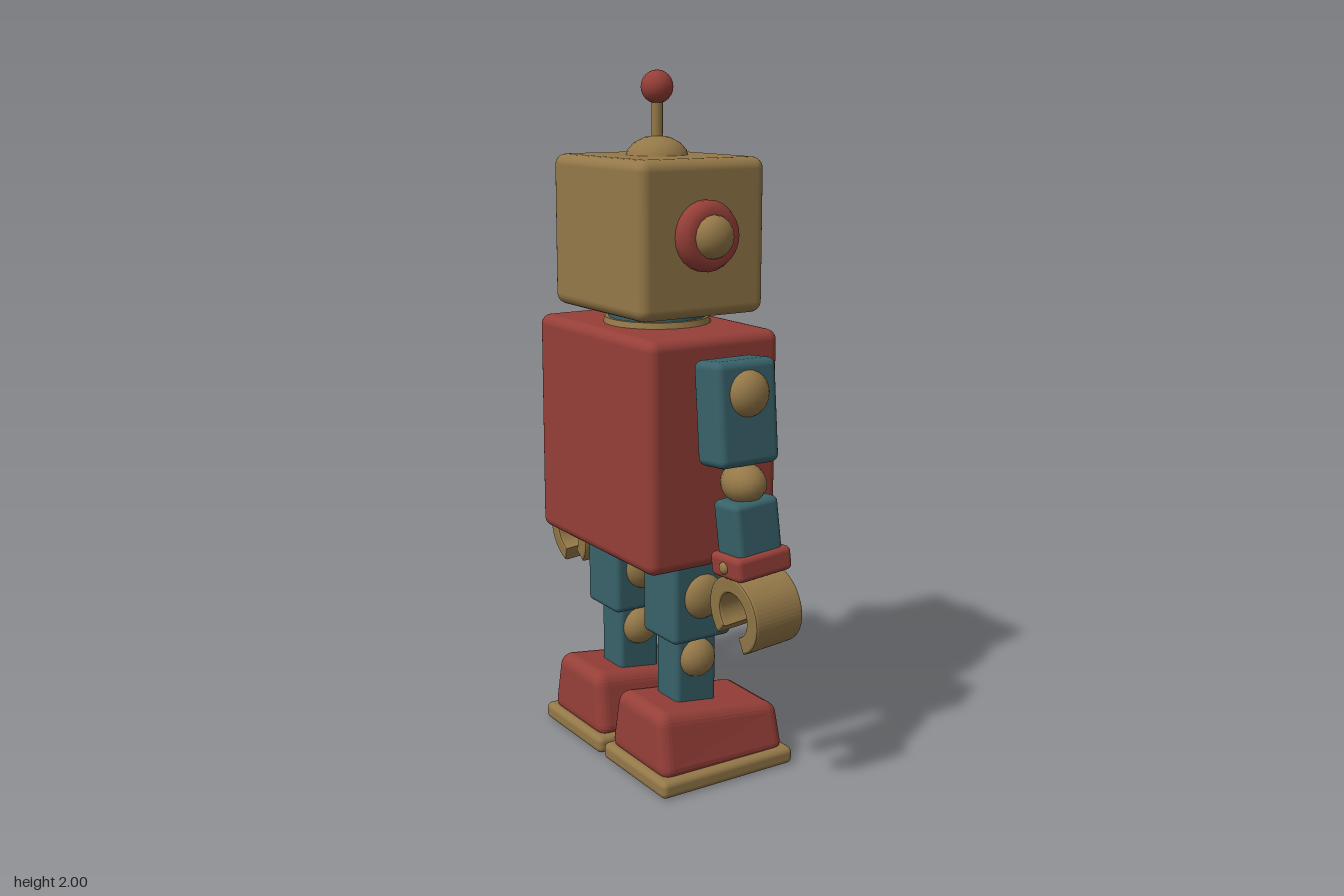
import * as THREE from 'three';
import { RoundedBoxGeometry } from 'three/addons/geometries/RoundedBoxGeometry.js';

const mat = (name, color) => new THREE.MeshStandardMaterial({ name, color });

export function createModel() {
  const tan = mat('brass', 0x947848);
  const red = mat('red paint', 0x963f38);
  const teal = mat('teal paint', 0x38626a);
  const cream = mat('cream', 0xdccfb0);
  const dark = mat('dark', 0x1e2226);
  const yellow = mat('yellow', 0xd09c22);

  // The body is modelled facing +z, then turned to face +x.
  const model = new THREE.Group();
  model.name = 'toyRobot';
  const body = new THREE.Group();
  body.name = 'body';
  body.rotation.y = Math.PI / 2;
  model.add(body);

  const add = (name, geo, m, x, y, z, parent = body) => {
    const mesh = new THREE.Mesh(geo, m);
    mesh.name = name;
    mesh.position.set(x, y, z);
    parent.add(mesh);
    return mesh;
  };
  const rbox = (w, h, d, r) => new RoundedBoxGeometry(w, h, d, 3, r);
  const ball = (rx, ry, rz) => new THREE.SphereGeometry(1, 16, 12).scale(rx, ry, rz);
  const discZ = (r, d, n = 24) => new THREE.CylinderGeometry(r, r, d, n).rotateX(Math.PI / 2);
  const lathe = (pts, n = 24) => new THREE.LatheGeometry(pts.map(p => new THREE.Vector2(...p)), n);
  const Z = -0.02; // mid-depth of head, torso and limbs

  // Torso, neck and head
  add('torso', rbox(0.62, 0.65, 0.425, 0.03), red, 0, 0.975, -0.027);
  add('neckCollar', new THREE.CylinderGeometry(0.15, 0.155, 0.02, 24), tan, 0, 1.307, Z);
  add('neck', new THREE.CylinderGeometry(0.14, 0.14, 0.06, 24), teal, 0, 1.325, Z);
  add('head', rbox(0.48, 0.43, 0.41, 0.032), tan, 0, 1.553, Z);

  // Antenna
  add('antennaDome', lathe([[0.088, 0], [0.083, 0.02], [0.065, 0.04], [0.035, 0.055], [0, 0.06]]), tan, 0, 1.762, Z);
  add('antennaStem', new THREE.CylinderGeometry(0.016, 0.016, 0.12, 12), tan, 0, 1.87, Z);
  add('antennaBall', ball(0.046, 0.046, 0.046), red, 0, 1.954, Z);

  // Ears
  for (const s of [-1, 1]) {
    const ear = new THREE.Group();
    ear.name = s > 0 ? 'leftEar' : 'rightEar';
    ear.position.set(s * 0.235, 1.563, Z);
    ear.rotation.z = -s * Math.PI / 2;
    body.add(ear);
    add('earRing', lathe([[0.097, 0], [0.097, 0.022], [0.085, 0.045], [0.06, 0.048], [0, 0.048]]), red, 0, 0, 0, ear);
    add('earCap', ball(0.06, 0.045, 0.06), tan, 0, 0.046, 0, ear);
  }

  // Eyes
  for (const s of [-1, 1]) {
    const x = s * 0.117;
    add('eyeFrame', new THREE.BoxGeometry(0.128, 0.15, 0.02), dark, x, 1.604, 0.191);
    add('eyePlate', new THREE.BoxGeometry(0.114, 0.136, 0.006), cream, x, 1.604, 0.202);
    add('iris', discZ(0.028, 0.006), teal, x, 1.605, 0.206);
    add('pupil', discZ(0.019, 0.006), dark, x + 0.004, 1.605, 0.209);
  }

  // Wedge nose, deepest at its lower edge
  const nose = new THREE.ConeGeometry(0.046, 0.09, 4, 1).rotateY(Math.PI / 4).toNonIndexed();
  nose.scale(1.25, 1, 1.25);
  nose.computeVertexNormals();
  add('nose', nose, red, 0, 1.542, 0.186);

  // Mouth grille
  add('mouthBorder', rbox(0.264, 0.094, 0.022, 0.006), dark, 0, 1.427, 0.189);
  add('mouthPlate', rbox(0.25, 0.08, 0.024, 0.006), tan, 0, 1.427, 0.194);
  for (let i = -2; i <= 2; i++) {
    add('mouthSlot', new THREE.BoxGeometry(0.032, 0.05, 0.006), dark, i * 0.043, 1.427, 0.205);
    add('tooth', new THREE.BoxGeometry(0.014, 0.034, 0.006), tan, i * 0.043, 1.427, 0.207);
  }

  // Chest gauge
  const gauge = new THREE.Group();
  gauge.name = 'gauge';
  gauge.position.set(0, 1.035, 0.182);
  body.add(gauge);
  add('bezel', lathe([[0.18, 0], [0.18, 0.018], [0.172, 0.032], [0.155, 0.036], [0.142, 0.03], [0.138, 0.012]], 36)
    .rotateX(Math.PI / 2), tan, 0, 0, 0, gauge);
  add('dial', discZ(0.142, 0.008, 36), cream, 0, 0, 0.016, gauge);
  for (let i = 0; i < 12; i++) {
    const a = i * Math.PI / 6;
    const tick = add('tick', new THREE.BoxGeometry(0.009, 0.026, 0.004), dark,
      Math.sin(a) * 0.117, Math.cos(a) * 0.117, 0.021, gauge);
    tick.rotation.z = -a;
  }
  const hand = new THREE.Shape([[-0.02, -0.035], [0.02, -0.035], [0.017, 0.075], [0, 0.135], [-0.017, 0.075]]
    .map(p => new THREE.Vector2(...p)));
  add('pointer', new THREE.ExtrudeGeometry(hand, { depth: 0.006, bevelEnabled: false }), dark, 0, 0, 0.024, gauge)
    .rotation.z = -0.87;
  add('pointerHub', discZ(0.028, 0.014), dark, 0, 0, 0.027, gauge);

  // Control panel with three buttons
  add('panel', rbox(0.425, 0.135, 0.035, 0.012), tan, 0, 0.788, 0.195);
  [teal, yellow, red].forEach((m, i) => {
    const x = (i - 1) * 0.122;
    add('buttonRim', discZ(0.045, 0.006), dark, x, 0.787, 0.213);
    add('button', ball(0.04, 0.04, 0.022), m, x, 0.787, 0.215);
  });
  for (const sx of [-1, 1]) {
    add('torsoRivet', ball(0.026, 0.026, 0.018), tan, sx * 0.247, 1.212, 0.186);
    for (const sy of [-1, 1]) add('panelScrew', discZ(0.007, 0.006, 8), dark, sx * 0.193, 0.787 + sy * 0.048, 0.212);
  }

  // Arms
  const makeArm = s => {
    const arm = new THREE.Group();
    arm.name = s > 0 ? 'leftArm' : 'rightArm';
    body.add(arm);
    add('shoulderJoint', ball(0.05, 0.06, 0.06), tan, s * 0.32, 1.168, Z, arm);
    add('upperArm', rbox(0.122, 0.285, 0.195, 0.022), teal, s * 0.395, 1.108, Z, arm).rotation.z = s * 0.09;
    add('shoulderCap', ball(0.05, 0.064, 0.064), tan, s * 0.443, 1.165, Z, arm);
    add('elbow', ball(0.07, 0.056, 0.06), tan, s * 0.43, 0.918, Z, arm);

    // Forearm swings slightly outward and forward from the elbow
    const fore = new THREE.Group();
    fore.name = 'forearm';
    fore.position.set(s * 0.432, 0.918, Z);
    fore.rotation.set(-0.08, 0, s * 0.065);
    arm.add(fore);
    add('forearmBox', rbox(0.112, 0.17, 0.145, 0.018), teal, 0, -0.125, 0, fore);
    add('cuff', rbox(0.138, 0.068, 0.18, 0.016), red, 0, -0.217, 0, fore);
    for (const f of [-1, 1]) add('cuffRivet', ball(0.017, 0.017, 0.012), tan, 0, -0.217, f * 0.09, fore);

    // Open ring claw
    const mid = -Math.PI / 2 - s * 0.3, half = 0.63;
    const claw = new THREE.Shape();
    claw.absarc(0, 0, 0.104, mid + half, mid - half + Math.PI * 2, false);
    claw.absarc(0, 0, 0.068, mid - half + Math.PI * 2, mid + half, true);
    claw.closePath();
    const geo = new THREE.ExtrudeGeometry(claw, {
      depth: 0.14, bevelSize: 0.006, bevelThickness: 0.008, bevelSegments: 2, curveSegments: 24,
    }).translate(0, 0, -0.07);
    add('claw', geo, tan, 0, -0.355, 0, fore);
  };

  // Tapered shoe with a sloping toe
  const makeShoe = () => {
    const g = rbox(0.305, 0.19, 0.425, 0.035), p = g.attributes.position;
    for (let i = 0; i < p.count; i++) {
      const t = p.getY(i) / 0.19 + 0.5, z = p.getZ(i);
      p.setX(i, p.getX(i) * (1 - 0.22 * t));
      p.setZ(i, z * (1 - 0.035 * t));
      p.setY(i, p.getY(i) - t * Math.max(0, z - 0.03) * 0.3);
    }
    g.computeVertexNormals();
    return g;
  };

  // Legs
  const makeLeg = s => {
    const leg = new THREE.Group();
    leg.name = s > 0 ? 'leftLeg' : 'rightLeg';
    body.add(leg);
    add('thigh', rbox(0.172, 0.28, 0.198, 0.018), teal, s * 0.158, 0.548, Z, leg);
    add('shin', rbox(0.112, 0.24, 0.138, 0.016), teal, s * 0.156, 0.31, Z, leg);
    for (const k of [-1, 1]) {
      add('hipCap', ball(0.04, 0.066, 0.066), tan, s * 0.158 + k * 0.08, 0.542, Z, leg);
      add('kneeCap', ball(0.047, 0.058, 0.058), tan, s * 0.156 + k * 0.053, 0.348, Z, leg);
    }
    add('shoe', makeShoe(), red, s * 0.174, 0.138, 0.008, leg);
    add('sole', rbox(0.335, 0.052, 0.455, 0.018), tan, s * 0.177, 0.03, 0.008, leg);
  };

  for (const s of [-1, 1]) {
    makeArm(s);
    makeLeg(s);
  }
  return model;
}
